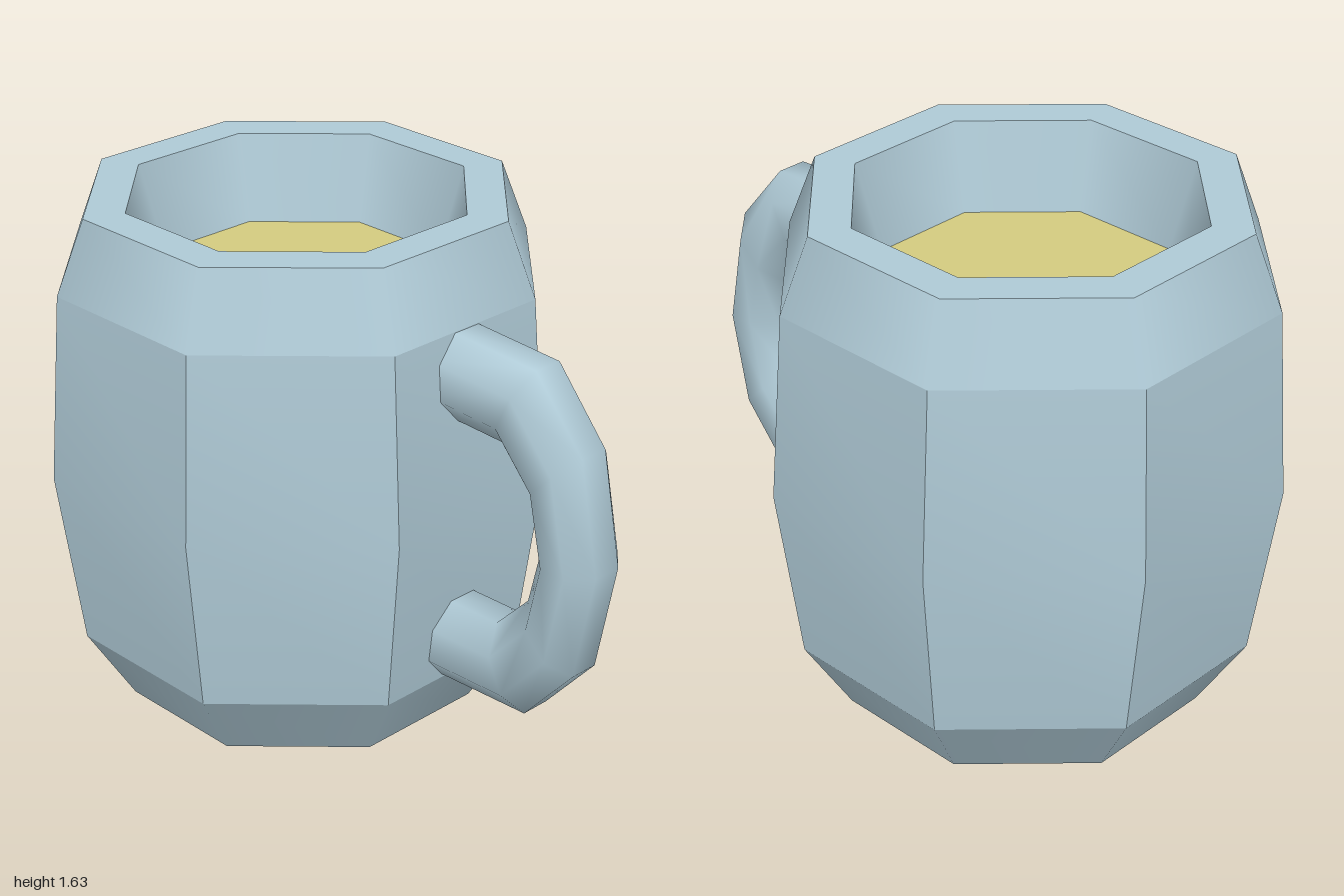
import * as THREE from 'three';
import { toCreasedNormals } from 'three/addons/utils/BufferGeometryUtils.js';

const SIDES = 8;
const FLAT = Math.cos(Math.PI / SIDES);

export function createModel() {
  const mug = new THREE.Group();
  mug.name = 'mug';
  const glaze = new THREE.MeshStandardMaterial({ color: 0xafcad6 });
  glaze.name = 'pale blue glaze';
  const drinkColor = new THREE.MeshStandardMaterial({ color: 0xd4cc80 });
  drinkColor.name = 'golden drink';

  const body = new THREE.Group();
  body.name = 'body';
  body.position.x = -0.26;
  mug.add(body);

  // Octagonal ring from a profile of [distance to flat side, height]
  function ring(name, profile, material = glaze, creased = false) {
    const points = profile.map(([r, y]) => new THREE.Vector2(r / FLAT, y));
    let geometry = new THREE.LatheGeometry(points, SIDES, Math.PI / SIDES);
    if (creased) geometry = toCreasedNormals(geometry, THREE.MathUtils.degToRad(43.8));
    const mesh = new THREE.Mesh(geometry, material);
    mesh.name = name;
    body.add(mesh);
  }

  ring('base', [[0, 0], [0.533, 0]]);
  ring('lowerBand', [[0.533, 0], [0.67, 0.24]]);
  ring('staves', [[0.67, 0.24], [0.74, 0.81], [0.7, 1.4]], glaze, true);
  ring('upperBand', [[0.7, 1.4], [0.617, 1.63]]);
  ring('rim', [[0.617, 1.63], [0.498, 1.63]]);
  ring('innerWall', [[0.498, 1.63], [0.425, 1.36]]);
  ring('drink', [[0.425, 1.36], [0, 1.36]], drinkColor);

  // Handle: octagonal sections between outer and inner outlines [xOut, yOut, xIn, yIn]
  const sections = [
    [0.38, 1.4, 0.38, 1.13],
    [0.75, 1.38, 0.63, 1.12],
    [0.93, 1.17, 0.75, 0.99],
    [0.998, 0.82, 0.79, 0.82],
    [0.93, 0.47, 0.75, 0.65],
    [0.75, 0.265, 0.63, 0.525],
    [0.36, 0.25, 0.36, 0.52],
  ];
  const positions = [];
  const indices = [];
  sections.forEach(([xo, yo, xi, yi], i) => {
    for (let k = 0; k < SIDES; k++) {
      const a = ((k + 0.5) / SIDES) * Math.PI * 2;
      const u = Math.cos(a) / FLAT / 2;
      positions.push(
        (xo + xi) / 2 + (xo - xi) * u,
        (yo + yi) / 2 + (yo - yi) * u,
        (Math.sin(a) / FLAT) * 0.117
      );
      if (i < sections.length - 1) {
        const p = i * SIDES + k;
        const q = i * SIDES + ((k + 1) % SIDES);
        indices.push(p, q, p + SIDES, q, q + SIDES, p + SIDES);
      }
    }
  });
  const handleGeometry = new THREE.BufferGeometry();
  handleGeometry.setAttribute('position', new THREE.Float32BufferAttribute(positions, 3));
  handleGeometry.setIndex(indices);
  handleGeometry.computeVertexNormals();
  const handle = new THREE.Mesh(handleGeometry, glaze);
  handle.name = 'handle';
  mug.add(handle);

  return mug;
}
